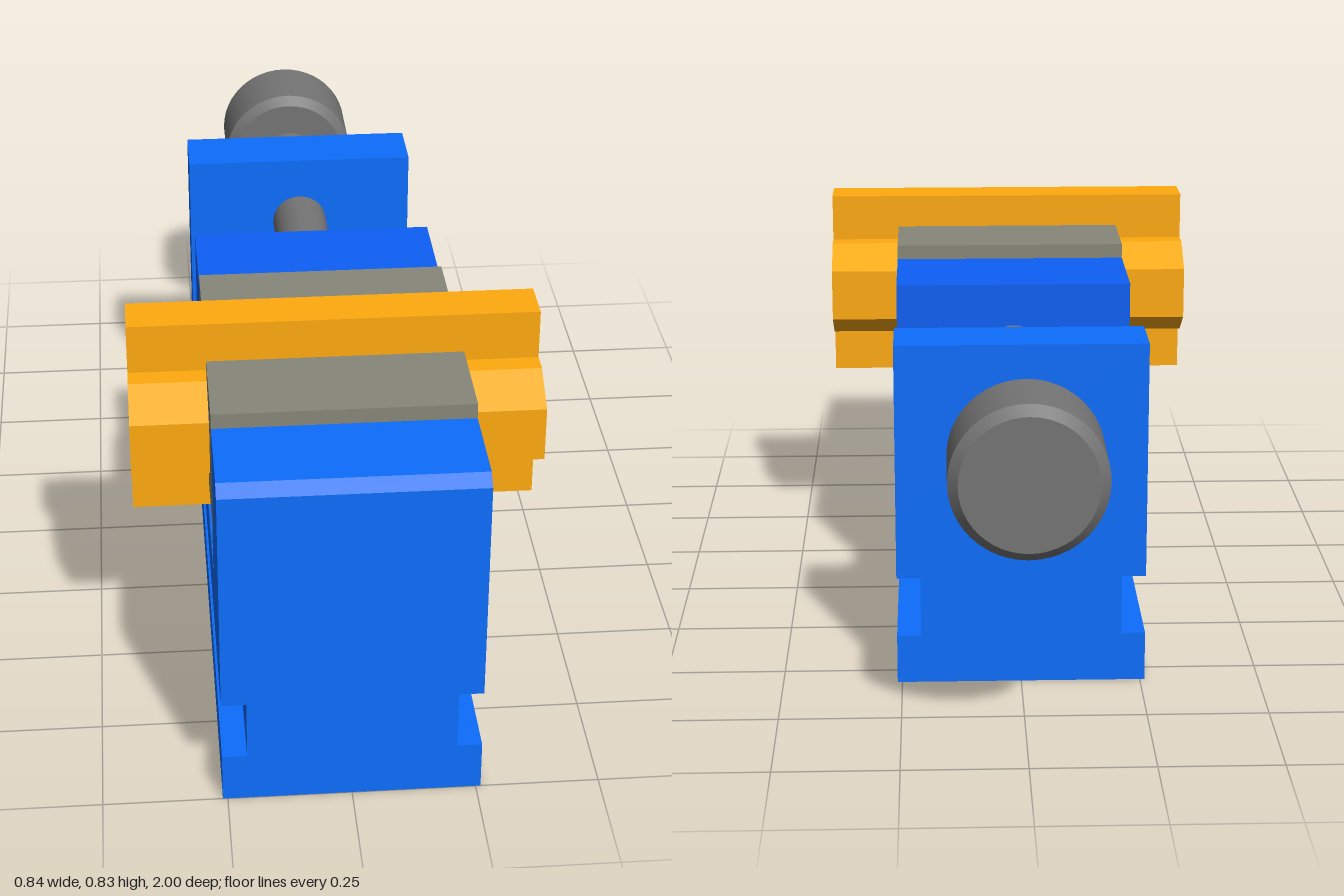
import * as THREE from 'three';
import { toCreasedNormals } from 'three/addons/utils/BufferGeometryUtils.js';

const BODY = 0x0d6efd, SLIDE = 0x0d60f5, PAD = 0x87877a, PART = 0xffaa0f, STEEL = 0x757575;
const HALF = 0.26;      // half width of the vise
const GRIP_Z = 0.49;    // middle of the clamped bar

const shapeOf = (pts) => new THREE.Shape(pts.map(([a, b]) => new THREE.Vector2(a, b)));

function add(group, name, geometry, color) {
  const mesh = new THREE.Mesh(geometry, new THREE.MeshStandardMaterial({ color }));
  mesh.name = name;
  group.add(mesh);
  return mesh;
}

// Side profile given as [z, y], extruded across x and centred
function across(pts, halfWidth) {
  const g = new THREE.ExtrudeGeometry(shapeOf(pts), { depth: 2 * halfWidth, bevelEnabled: false });
  return g.rotateY(-Math.PI / 2).translate(halfWidth, 0, 0);
}

// Slotted plate of the base, from height y0 to y1
function slottedPlate(halfWidth, y0, y1) {
  const rect = (h, zBack, zFront) => [[-h, -zFront], [h, -zFront], [h, -zBack], [-h, -zBack]];
  const shape = shapeOf(rect(halfWidth, -0.565, 1));
  shape.holes.push(shapeOf(rect(0.085, -0.425, 0.73)));
  const g = new THREE.ExtrudeGeometry(shape, { depth: y1 - y0, bevelEnabled: false });
  return g.rotateX(-Math.PI / 2).translate(0, y0, 0);
}

// Turned part along -z, profile given as [radius, distance behind origin]
function turned(pts) {
  const g = new THREE.LatheGeometry(pts.map(([r, d]) => new THREE.Vector2(r, d)), 48);
  return toCreasedNormals(g.rotateX(-Math.PI / 2), 0.5);
}

export function createModel() {
  const model = new THREE.Group();
  model.name = 'machineVise';

  // Base with a clamping groove along each side and a slot down the middle
  const base = new THREE.Group();
  base.name = 'base';
  model.add(base);
  add(base, 'foot', slottedPlate(HALF, 0, 0.105), BODY);
  add(base, 'grooveWeb', slottedPlate(0.21, 0.105, 0.232), BODY);
  add(base, 'bed', slottedPlate(HALF, 0.232, 0.368), BODY);

  // Fixed jaw with chamfered front edge and a rebate for its pad
  add(base, 'fixedJaw', across([
    [0.73, 0.368], [1, 0.368], [1, 0.712], [0.975, 0.733],
    [0.78, 0.733], [0.78, 0.476], [0.73, 0.476],
  ], HALF), BODY);

  // Rear wall that carries the screw
  add(base, 'screwWall', across([
    [-0.565, 0.368], [-0.425, 0.368], [-0.425, 0.733], [-0.565, 0.733],
  ], HALF), BODY);

  // Sliding jaw, with the matching rebate
  add(model, 'slidingJaw', across([
    [-0.055, 0.368], [0.257, 0.368], [0.257, 0.476],
    [0.205, 0.476], [0.205, 0.733], [-0.055, 0.733],
  ], HALF), SLIDE);

  // Grooved jaw pads, mirrored about the clamped bar
  const padProfile = [
    [0.29, 0.476], [0.29, 0.765], [0.082, 0.765], [0.082, 0.738],
    [0.184, 0.674], [0.184, 0.567], [0.082, 0.503], [0.082, 0.476],
  ];
  for (const [name, s] of [['fixedPad', 1], ['slidingPad', -1]]) {
    add(model, name, across(padProfile.map(([z, y]) => [GRIP_Z + s * z, y]), HALF), PAD);
  }

  // Clamped bar: octagonal core with a fin above and below
  const half = [
    [0.05, 0.405], [0.05, 0.51], [0.095, 0.51], [0.175, 0.56],
    [0.175, 0.677], [0.095, 0.727], [0.05, 0.727], [0.05, 0.832],
  ];
  const outline = [...half, ...half.map(([z, y]) => [-z, y]).reverse()];
  add(model, 'clampedBar', across(outline.map(([z, y]) => [GRIP_Z + z, y]), 0.418), PART);

  // Screw and its chamfered knob
  const screw = new THREE.Group();
  screw.name = 'screw';
  screw.position.y = 0.577;
  model.add(screw);
  add(screw, 'screwShaft', turned([[0, -0.02], [0.0625, -0.02], [0.0625, 0.82], [0, 0.82]]), STEEL);
  add(screw, 'screwKnob', turned([
    [0, 0.792], [0.135, 0.792], [0.155, 0.812], [0.155, 0.98], [0.135, 1], [0, 1],
  ]), STEEL);

  return model;
}
